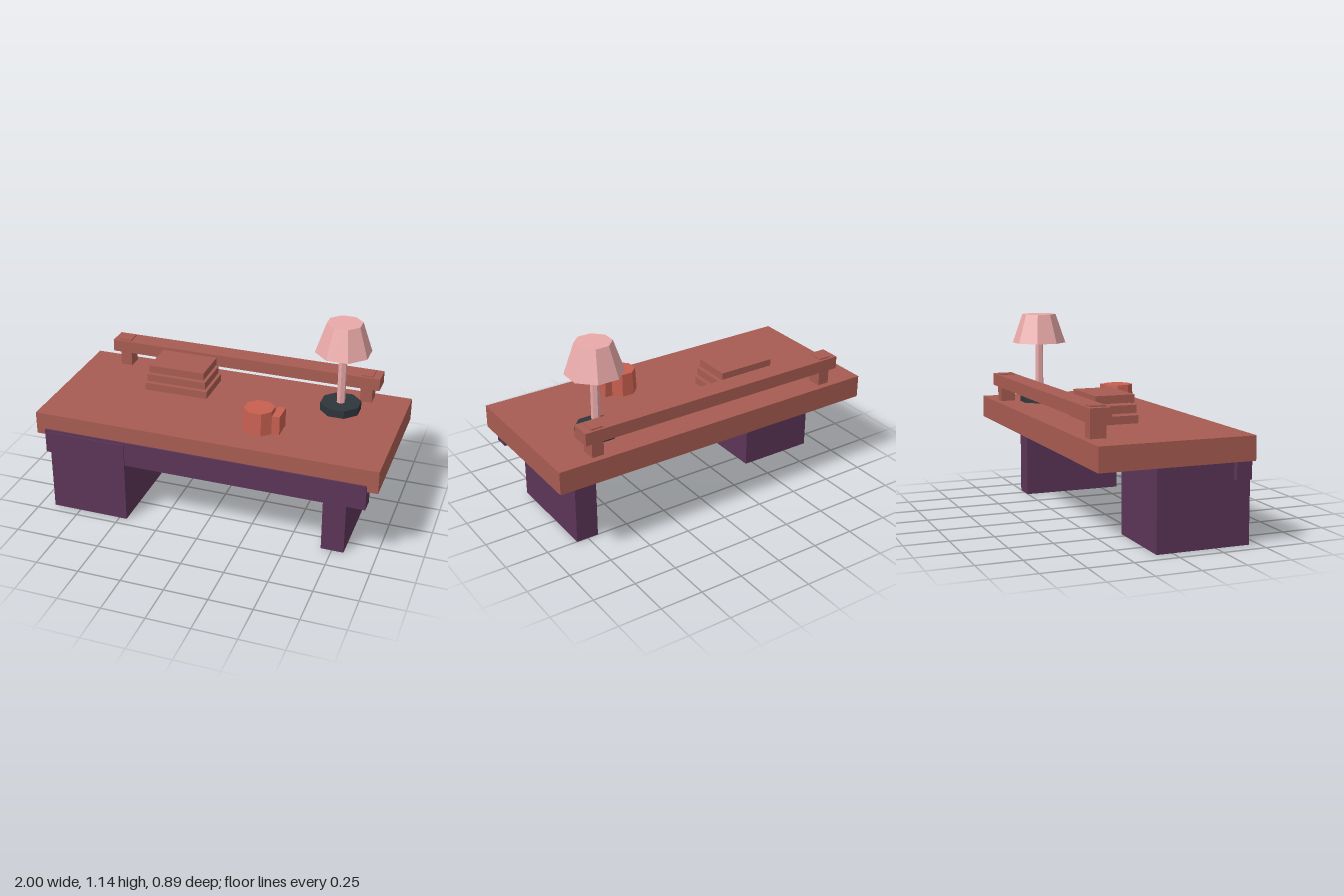
import * as THREE from 'three';

const paint = (color) => new THREE.MeshStandardMaterial({ color, flatShading: true });

export function createModel() {
  const group = new THREE.Group();
  const wood = paint(0xa85c52);
  const plum = paint(0x5c3558);
  const clay = paint(0xc86050);
  const pink = paint(0xeaa9a9);
  const slate = paint(0x2e353c);

  // Box given by its limits along each axis
  function box(name, material, [x0, x1], [y0, y1], [z0, z1]) {
    const mesh = new THREE.Mesh(new THREE.BoxGeometry(x1 - x0, y1 - y0, z1 - z0), material);
    mesh.name = name;
    mesh.position.set((x0 + x1) / 2, (y0 + y1) / 2, (z0 + z1) / 2);
    group.add(mesh);
  }

  // Octagonal frustum with flat sides facing the axes; sizes are half-widths across flats
  function octagon(name, material, top, bottom, [y0, y1], x, z) {
    const k = 1 / Math.cos(Math.PI / 8);
    const geometry = new THREE.CylinderGeometry(top * k, bottom * k, y1 - y0, 8);
    geometry.rotateY(Math.PI / 8);
    const mesh = new THREE.Mesh(geometry, material);
    mesh.name = name;
    mesh.position.set(x, (y0 + y1) / 2, z);
    group.add(mesh);
  }

  // Desk
  box('desktop', wood, [-1, 1], [0.467, 0.6], [-0.443, 0.43]);
  box('apron', plum, [-0.946, 0.939], [0.357, 0.504], [0.35, 0.438]);
  box('drawerPedestal', plum, [-0.914, -0.455], [0, 0.49], [-0.09, 0.445]);
  box('legPanel', plum, [0.687, 0.818], [0, 0.46], [-0.252, 0.357]);

  // Raised shelf along the back
  box('shelf', wood, [-0.835, 0.83], [0.69, 0.763], [-0.422, -0.303]);
  for (const x of [-0.76, 0.752]) {
    box('shelfPost', wood, [x - 0.035, x + 0.035], [0.6, 0.77], [-0.406, -0.318]);
  }

  // Stack of books, each smaller than the one below
  for (let i = 0; i < 3; i++) {
    const y = 0.616 + i * 0.0555;
    const w = 0.191 - i * 0.011;
    const d = 0.125 - i * 0.0065;
    box('book', wood, [-0.315 - w, -0.315 + w], [y, y + 0.044], [-0.14 - d, -0.14 + d]);
  }

  // Mug
  octagon('mug', clay, 0.08, 0.088, [0.6, 0.733], 0.263, 0.186);
  box('mugHandle', clay, [0.353, 0.397], [0.612, 0.722], [0.125, 0.246]);

  // Lamp
  const lampX = 0.635, lampZ = -0.184;
  octagon('lampBase', slate, 0.11, 0.11, [0.6, 0.648], lampX, lampZ);
  octagon('lampShade', pink, 0.095, 0.15, [0.966, 1.141], lampX, lampZ);
  const pole = new THREE.Mesh(new THREE.CylinderGeometry(0.025, 0.025, 0.36, 6), pink);
  pole.name = 'lampPole';
  pole.position.set(lampX, 0.81, lampZ);
  group.add(pole);

  return group;
}
